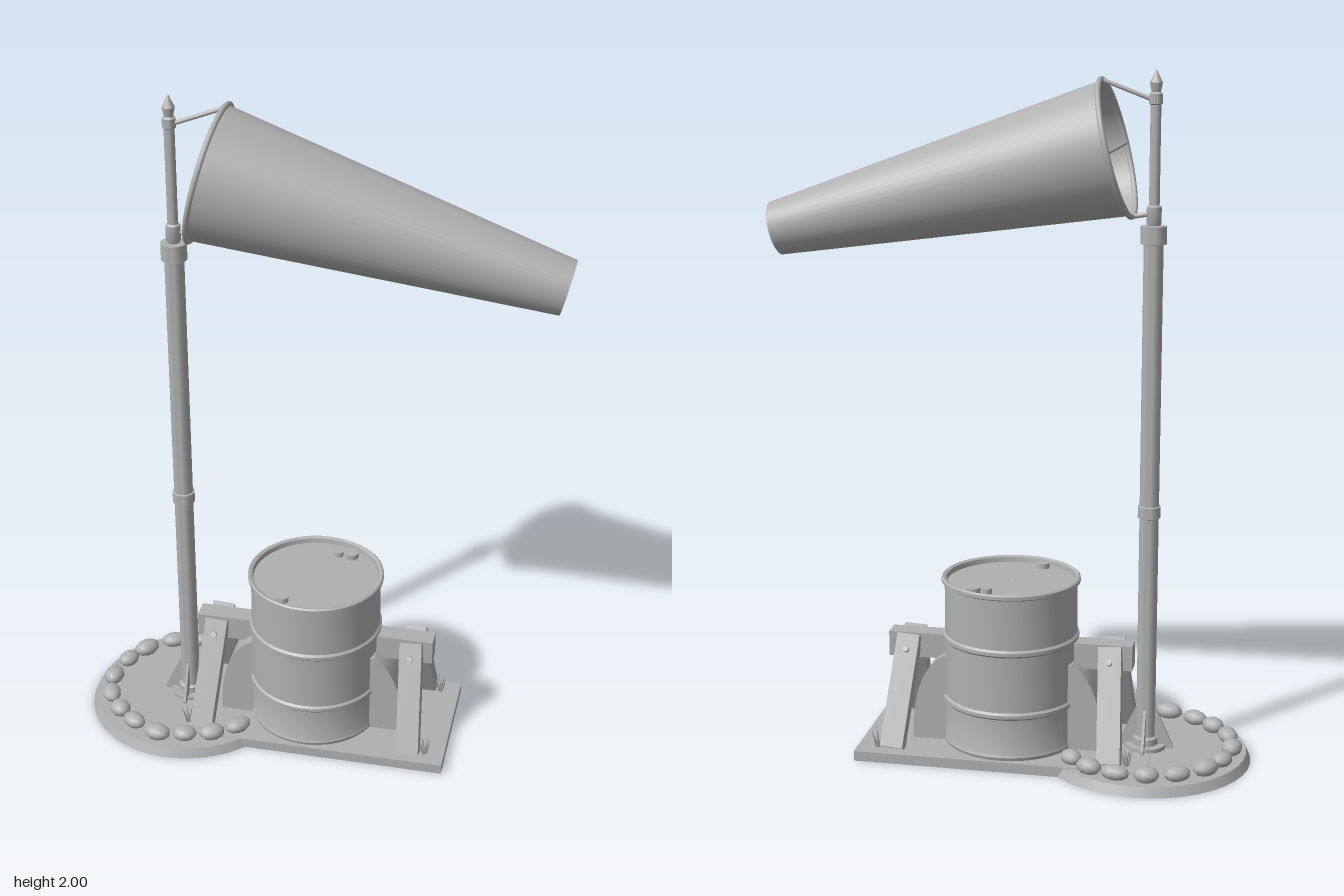
import * as THREE from 'three';
import { toCreasedNormals } from 'three/addons/utils/BufferGeometryUtils.js';

const grey = new THREE.MeshStandardMaterial({ color: 0xb0b0b0 });
grey.name = 'plain grey';
const greyCloth = new THREE.MeshStandardMaterial({ color: 0xb0b0b0, side: THREE.DoubleSide });
greyCloth.name = 'plain grey cloth';

const UP = new THREE.Vector3(0, 1, 0);
const POLE_X = -0.405;

export function createModel() {
  const root = new THREE.Group();
  root.name = 'windsockStation';

  const add = (name, geo, x = 0, y = 0, z = 0, parent = root, mat = grey) => {
    const m = new THREE.Mesh(geo, mat);
    m.name = name;
    m.position.set(x, y, z);
    parent.add(m);
    return m;
  };
  const lathe = (pts, seg = 40) => toCreasedNormals(
    new THREE.LatheGeometry(pts.map(([r, y]) => new THREE.Vector2(r, y)), seg), 0.6);
  // Stretch a Y-aligned part between two points
  const between = (name, a, b, makeGeo) => {
    const p = new THREE.Vector3(...a), q = new THREE.Vector3(...b);
    const d = q.clone().sub(p);
    const c = p.clone().add(q).multiplyScalar(0.5);
    const m = add(name, makeGeo(d.length()), c.x, c.y, c.z);
    m.quaternion.setFromUnitVectors(UP, d.normalize());
    return m;
  };
  const rod = (r) => (len) => new THREE.CylinderGeometry(r, r, len, 10);

  // Ground pads
  add('drumPad', new THREE.BoxGeometry(0.86, 0.03, 0.42), 0, 0.015, 0);
  add('polePad', new THREE.CylinderGeometry(0.297, 0.31, 0.028, 40), POLE_X, 0.014, 0);

  // Stones round the pole pad
  const stones = [[-0.21, -0.165], [-0.27, -0.22], [-0.35, -0.25], [-0.44, -0.25], [-0.525, -0.225],
    [-0.6, -0.165], [-0.64, -0.095], [-0.66, 0], [-0.64, 0.09], [-0.59, 0.16], [-0.53, 0.21],
    [-0.445, 0.25], [-0.36, 0.24], [-0.28, 0.215], [-0.21, 0.165]];
  stones.forEach(([x, z], i) => {
    const s = add('stone', new THREE.SphereGeometry(1, 10, 7), x, 0.046, z);
    s.scale.set(0.037 + 0.003 * (i % 3), 0.022 + 0.002 * (i % 2), 0.029 + 0.002 * (i % 2));
    s.rotation.y = -Math.atan2(z, x - POLE_X) + Math.PI / 2;
  });

  // Pole with foot flange, mid collar and top collar
  add('pole', lathe([[0.001, 0.02], [0.06, 0.02], [0.06, 0.04], [0.037, 0.04], [0.037, 0.06], [0.028, 0.065],
    [0.028, 0.73], [0.033, 0.732], [0.033, 0.765], [0.028, 0.767], [0.028, 1.52], [0.037, 1.522],
    [0.037, 1.572], [0.001, 1.575]], 24), POLE_X);
  // Spindle with sleeves and pointed finial
  add('spindle', lathe([[0.016, 1.57], [0.021, 1.58], [0.021, 1.625], [0.015, 1.63], [0.015, 1.905],
    [0.019, 1.908], [0.019, 1.935], [0.013, 1.94], [0.018, 1.965], [0.001, 2]], 16), POLE_X);
  // Foot gussets
  const fin = new THREE.Shape([[0.02, 0.028], [0.08, 0.028], [0.08, 0.04], [0.03, 0.15], [0.02, 0.15]]
    .map(([x, y]) => new THREE.Vector2(x, y)));
  for (let i = 0; i < 4; i++) {
    const geo = new THREE.ExtrudeGeometry(fin, { depth: 0.008, bevelEnabled: false }).translate(0, 0, -0.004);
    add('footGusset', geo, POLE_X).rotation.y = i * Math.PI / 2;
  }

  // Windsock: tapered open sleeve, mouth hoop and cross bar
  const mouth = new THREE.Vector3(-0.298, 1.785, 0), tail = new THREE.Vector3(0.692, 1.54, 0);
  const axis = tail.clone().sub(mouth);
  const len = axis.length();
  const sock = new THREE.Group();
  sock.name = 'windsock';
  sock.position.copy(mouth);
  sock.quaternion.setFromUnitVectors(UP, axis.normalize());
  root.add(sock);
  add('sleeve', new THREE.CylinderGeometry(0.078, 0.191, len, 48, 1, true), 0, len / 2, 0, sock, greyCloth);
  add('hoop', new THREE.TorusGeometry(0.194, 0.008, 10, 48), 0, 0, 0, sock).rotation.x = Math.PI / 2;
  add('crossBar', new THREE.CylinderGeometry(0.005, 0.005, 0.385, 8), 0, 0, 0, sock).rotation.x = Math.PI / 2;
  between('upperStrut', [POLE_X, 1.915, 0], [-0.252, 1.973, 0], rod(0.006));
  between('lowerStrut', [POLE_X, 1.607, 0], [-0.344, 1.597, 0], rod(0.007));

  // Drum with rolling ribs, rim and recessed lid
  const drum = [[0.001, 0.03], [0.197, 0.03], [0.2, 0.04], [0.196, 0.048]];
  for (const y of [0.165, 0.355]) {
    drum.push([0.196, y - 0.011], [0.202, y - 0.005], [0.202, y + 0.005], [0.196, y + 0.011]);
  }
  drum.push([0.196, 0.515], [0.205, 0.52], [0.205, 0.53], [0.2, 0.534], [0.191, 0.53], [0.189, 0.515], [0.001, 0.515]);
  add('drum', lathe(drum, 48));
  for (const [x, z, r] of [[0.085, -0.13, 0.021], [0.045, -0.13, 0.014], [-0.07, 0.145, 0.018]]) {
    add('drumBung', new THREE.CylinderGeometry(r, r, 0.018, 12), x, 0.522, z);
  }

  // Bracing frames either side of the drum
  const wedge = new THREE.Shape();
  wedge.moveTo(0.17, 0.03);
  wedge.lineTo(0.285, 0.03);
  wedge.bezierCurveTo(0.285, 0.16, 0.26, 0.25, 0.195, 0.29);
  wedge.lineTo(0.17, 0.29);
  for (const s of [1, -1]) {
    add('topBeam', new THREE.BoxGeometry(0.172, 0.075, 0.06), s * 0.28, 0.307, 0);
    const w = add('sideChock', toCreasedNormals(new THREE.ExtrudeGeometry(wedge,
      { depth: 0.14, bevelEnabled: false, curveSegments: 12 }), 0.6).translate(0, 0, -0.07));
    if (s < 0) w.rotation.y = Math.PI;
    for (const t of [1, -1]) {
      between('braceLeg', [s * 0.322, 0.035, t * 0.175], [s * 0.302, 0.337, t * 0.028],
        (l) => new THREE.BoxGeometry(0.068, l, 0.045));
      // Bolt head on the outer face of the leg
      between('legBolt', [s * 0.304, 0.295, t * 0.055], [s * 0.304, 0.31, t * 0.078], rod(0.009));
      // Grass tuft beside the leg foot
      for (let i = 0; i < 6; i++) {
        const a = i * 1.05 + t;
        const blade = add('grassBlade', new THREE.ConeGeometry(0.005, 0.045 + 0.008 * (i % 3), 4),
          s * 0.37 + 0.011 * Math.cos(a), 0.055, t * 0.16 + 0.014 * Math.sin(a));
        blade.rotation.set(0.3 * Math.sin(a), 0, -0.3 * Math.cos(a));
      }
    }
  }
  return root;
}
